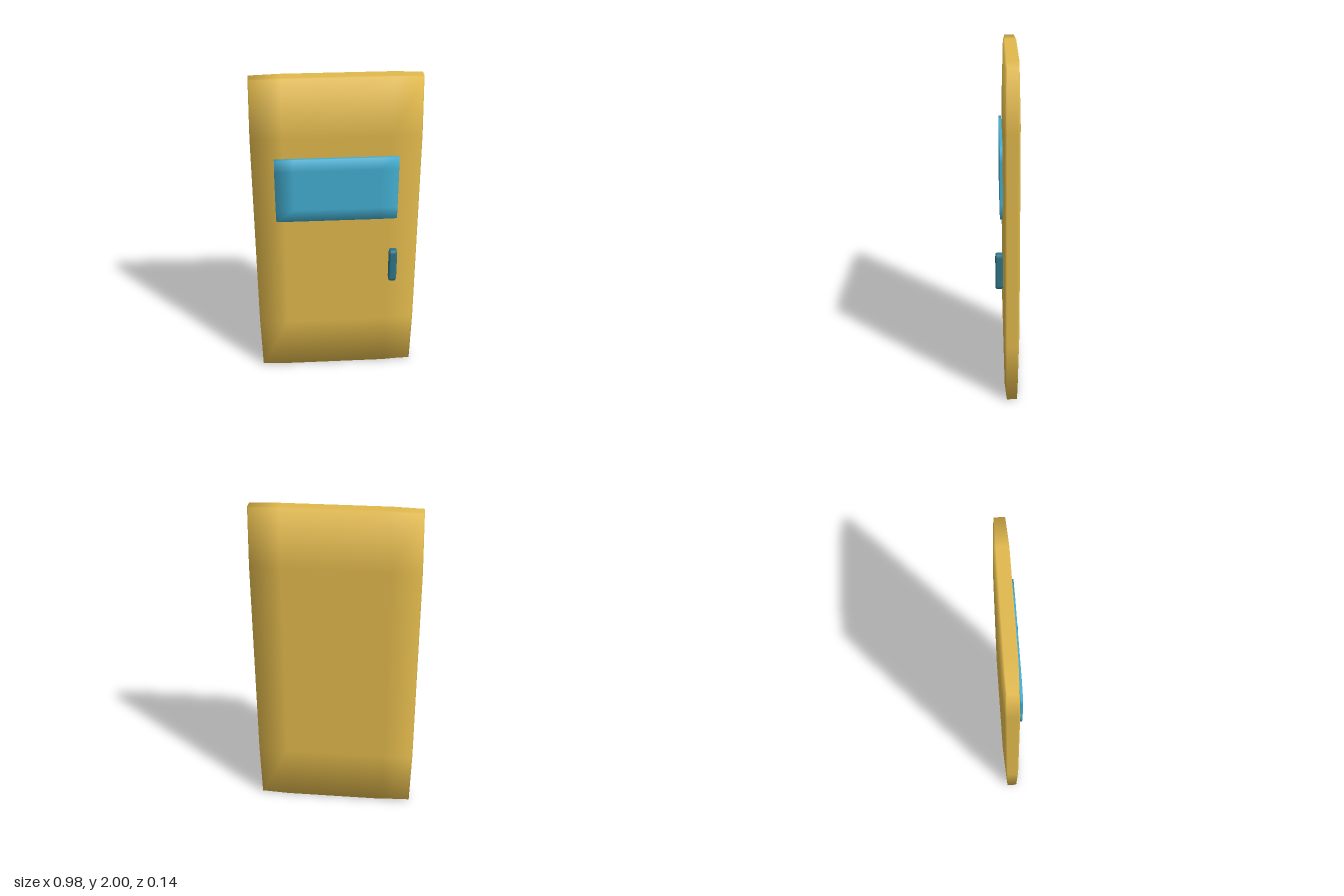
import * as THREE from 'three';

const paint = (name, color) => {
  const m = new THREE.MeshStandardMaterial({ color });
  m.name = name;
  return m;
};

// Softly bulged box: three segments per axis, inner rows moved to `inner`,
// rim rows pulled in by `pull`, normals blended evenly over the edges.
function softBox(name, material, size, centre, inner, pull) {
  const g = new THREE.BoxGeometry(2, 2, 2, 3, 3, 3);
  const pos = g.attributes.position, nor = g.attributes.normal;
  const n = new THREE.Vector3();
  for (let i = 0; i < pos.count; i++) {
    const c = [pos.getX(i), pos.getY(i), pos.getZ(i)];
    const rim = c.map(v => (Math.abs(v) > 0.9 ? 1 : 0));
    const p = c.map((v, k) => {
      const others = rim[0] + rim[1] + rim[2] - rim[k];
      const s = rim[k] ? 1 - pull[k] * others : inner[k];
      return centre[k] + Math.sign(v) * s * size[k] / 2;
    });
    pos.setXYZ(i, ...p);
    n.set(...c.map((v, k) => Math.sign(v) * rim[k])).normalize();
    nor.setXYZ(i, n.x, n.y, n.z);
  }
  const mesh = new THREE.Mesh(g, material);
  mesh.name = name;
  return mesh;
}

export function createModel() {
  const yellow = paint('door yellow', 0xe0b84c);
  const blue = paint('window blue', 0x43add0);
  const teal = paint('handle teal', 0x2f7688);

  const door = new THREE.Group();
  door.name = 'door';
  door.add(
    // Door slab
    softBox('doorPanel', yellow, [0.98, 2, 0.098], [0, 1, -0.023], [0.63, 0.64, 0.6], [0.016, 0.006, 0.18]),
    // Raised window pane
    softBox('window', blue, [0.72, 0.41, 0.02], [0, 1.315, 0.036], [0.7, 0.62, 0.6], [0.004, 0.008, 0.15]),
    // Upright pull handle
    softBox('handle', teal, [0.05, 0.22, 0.045], [0.342, 0.785, 0.0485], [0.5, 0.8, 0.5], [0.12, 0.025, 0.12]),
  );
  return door;
}
